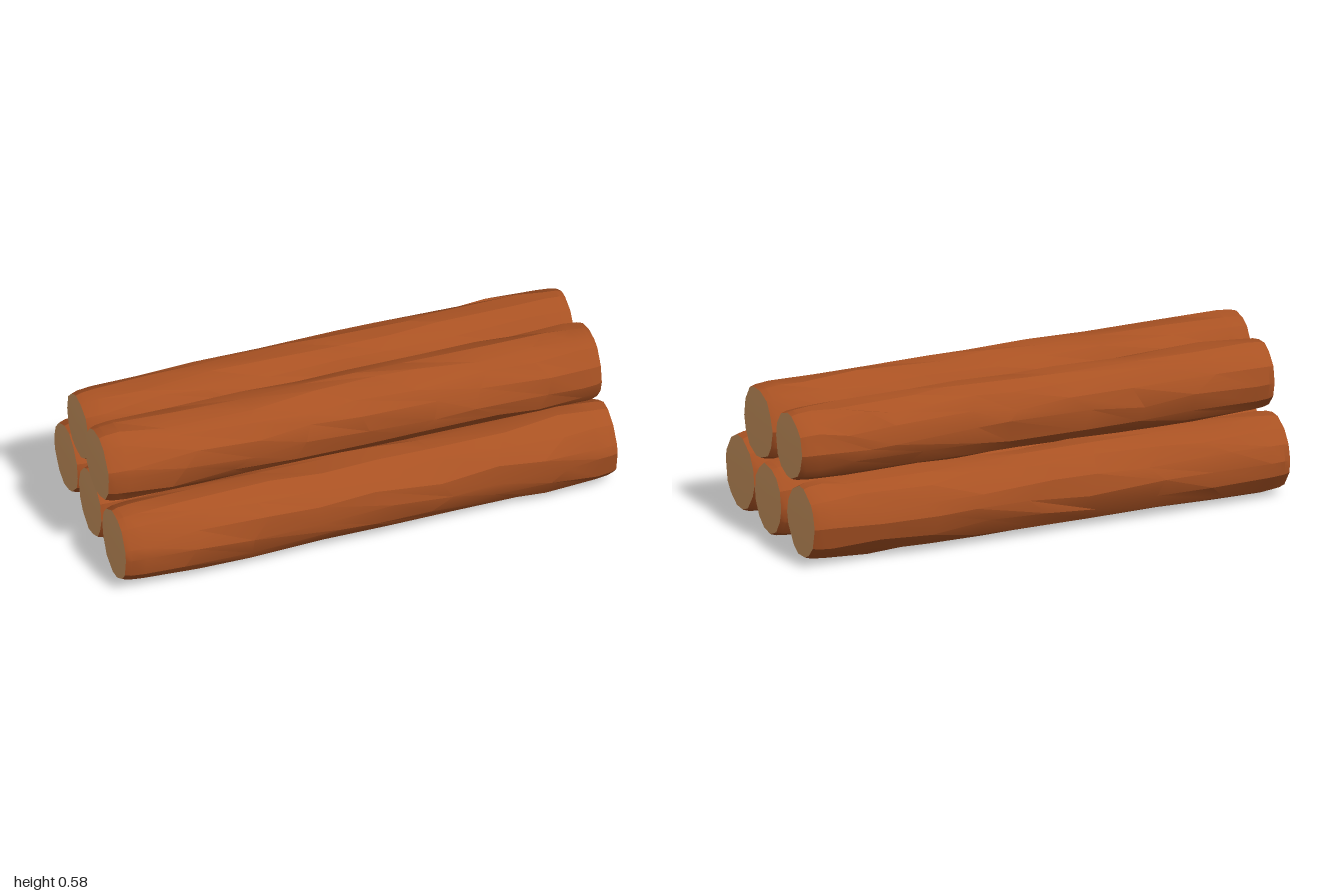
import * as THREE from 'three';
import { toCreasedNormals } from 'three/addons/utils/BufferGeometryUtils.js';

const SIDES = 14;
// ring positions along a log (0 to 1) and their girth: bevelled ends, full trunk
const ALONG = [0, 0.012, 0.04, 0.15, 0.28, 0.41, 0.53, 0.65, 0.77, 0.88, 0.96, 0.988, 1];
const GIRTH = [0.9, 0.95, 0.985, 1, 1, 1, 1, 1, 1, 1, 0.985, 0.95, 0.9];
const RINGS = ALONG.length - 1;

// repeatable noise from 0 to 1
function noise(a, b, seed) {
  const s = Math.sin(a * 12.99 + b * 78.23 + seed * 37.72) * 43758.55;
  return s - Math.floor(s);
}

// a hewn log along x; left and right are the axis points [x, y, z] of its ends
function logGeometry(left, right, ry, rz, seed) {
  const geometry = new THREE.CylinderGeometry(1, 1, 1, SIDES, RINGS);
  const p = geometry.attributes.position;
  for (let i = 0; i < p.count; i++) {
    const ring = Math.round((p.getY(i) + 0.5) * RINGS);
    const isCentre = Math.hypot(p.getX(i), p.getZ(i)) < 0.5;
    const angle = Math.atan2(-p.getX(i), p.getZ(i));
    const side = (Math.round((angle / (2 * Math.PI)) * SIDES) + SIDES) % SIDES;
    const isEnd = ring < 3 || ring > RINGS - 3;
    // ends share one outline so the bevel stays tidy; the trunk is uneven
    const row = ring < 3 ? 0 : ring > RINGS - 3 ? RINGS : ring;
    const chip = 1 - 0.065 * noise(row, side, seed);
    const a = angle + (noise(side, row, seed + 5) - 0.5) * 0.22;
    const r = isCentre ? 0 : GIRTH[ring] * chip;
    const t = ALONG[ring] + (isEnd ? 0 : (noise(side, ring, seed + 9) - 0.5) * 0.07);
    const dome = isCentre ? (ring === 0 ? -0.008 : 0.008) : 0;
    p.setXYZ(
      i,
      THREE.MathUtils.lerp(left[0], right[0], t) + dome,
      THREE.MathUtils.lerp(left[1], right[1], t) + r * ry * Math.sin(a),
      THREE.MathUtils.lerp(left[2], right[2], t) + r * rz * Math.cos(a)
    );
  }
  return toCreasedNormals(geometry, 0.4);
}

export function createModel() {
  const group = new THREE.Group();
  group.name = 'logPile';
  const bark = new THREE.MeshStandardMaterial({ color: 0xa95223 });
  bark.name = 'bark';
  const wood = new THREE.MeshStandardMaterial({ color: 0xdda268 });
  wood.name = 'cutWood';

  // name, left-end axis, right-end axis, vertical and sideways radius
  const logs = [
    ['lowerFrontLog', [-0.98, 0.168, 0.283], [0.985, 0.17, 0.283], 0.167, 0.154],
    ['lowerMiddleLog', [-0.975, 0.158, 0], [0.992, 0.162, 0], 0.156, 0.143],
    ['lowerBackLog', [-0.97, 0.162, -0.286], [0.98, 0.164, -0.284], 0.16, 0.15],
    ['upperFrontLog', [-0.99, 0.432, 0.118], [0.978, 0.422, 0.128], 0.157, 0.155],
    ['upperBackLog', [-0.975, 0.422, -0.138], [0.965, 0.418, -0.132], 0.149, 0.141],
  ];
  logs.forEach(([name, left, right, ry, rz], i) => {
    // side faces take bark, both cut ends take wood
    const mesh = new THREE.Mesh(logGeometry(left, right, ry, rz, i + 1), [bark, wood, wood]);
    mesh.name = name;
    group.add(mesh);
  });
  return group;
}
